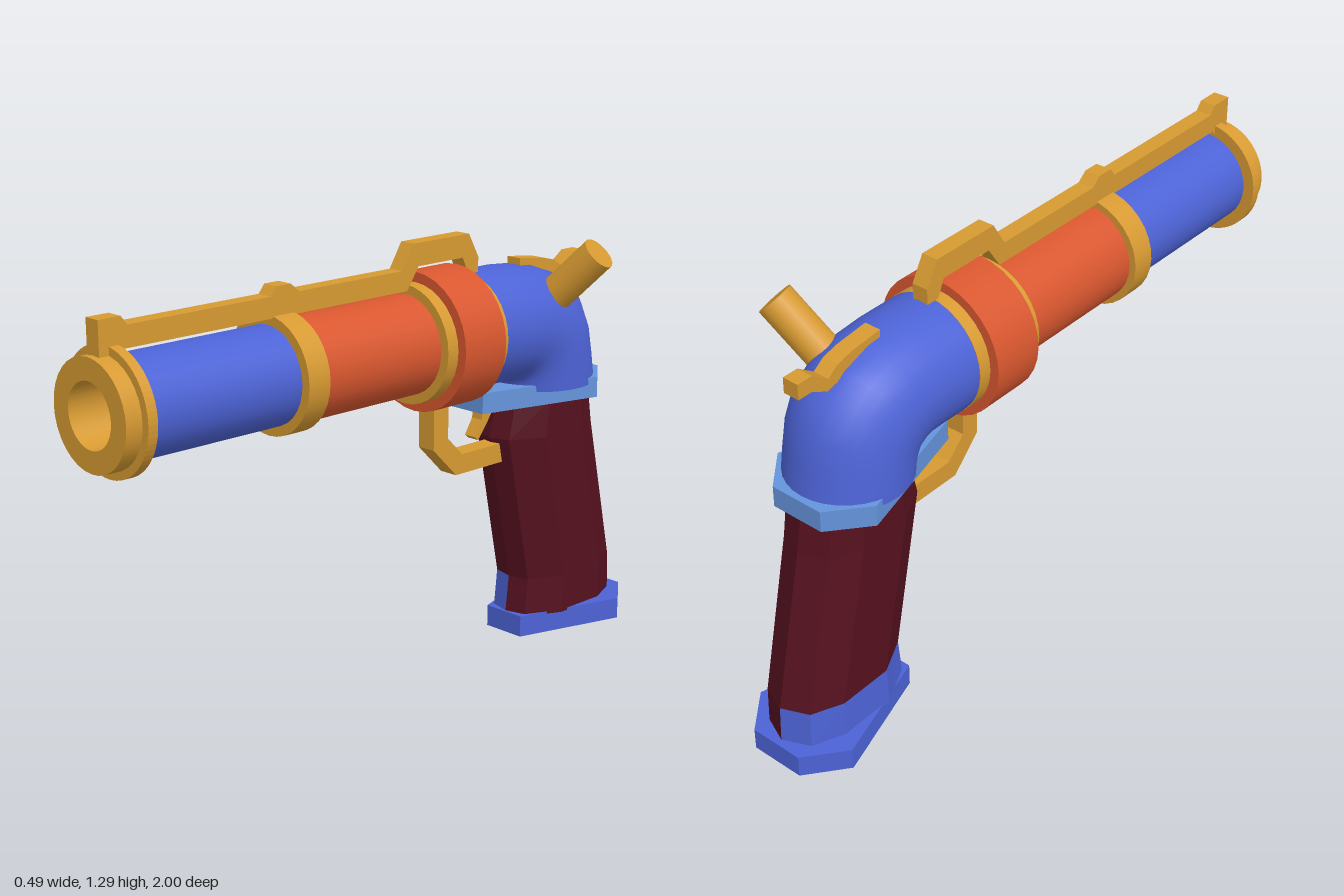
import * as THREE from 'three';

const X0 = -0.04, AXIS_Y = 1; // barrel axis
const mat = (color, extra = {}) => new THREE.MeshStandardMaterial({ color, ...extra });
const blue = mat(0x4d63d6), paleBlue = mat(0x6594dc), orange = mat(0xd9572f);
const gold = mat(0xd79a32), maroon = mat(0x55111f);

export function createModel() {
  const model = new THREE.Group();
  model.name = 'toyPistol';

  const add = (name, geometry, material) => {
    const mesh = new THREE.Mesh(geometry, material);
    mesh.name = name;
    model.add(mesh);
    return mesh;
  };

  // Cylinder along the barrel axis between two z positions
  const tube = (name, zFront, zBack, r, material) => {
    const g = new THREE.CylinderGeometry(r, r, zFront - zBack, 32);
    g.rotateX(Math.PI / 2);
    g.translate(X0, AXIS_Y, (zFront + zBack) / 2);
    add(name, g, material);
  };

  // Flat plate from a side profile of [z, y] points, centred on the gun's middle
  const plate = (name, points, width, material) => {
    const shape = new THREE.Shape(points.map(([z, y]) => new THREE.Vector2(z, y)));
    const g = new THREE.ExtrudeGeometry(shape, { depth: width, bevelEnabled: false });
    g.rotateY(-Math.PI / 2);
    g.translate(X0 + width / 2, 0, 0);
    add(name, g, material);
  };

  // Skin over rings of [x, y, z] points; faceted ones are capped
  const loft = (rings, smooth = false) => {
    const n = rings[0].length, index = [];
    for (let i = 0; i < rings.length - 1; i++) {
      for (let j = 0; j < n; j++) {
        const a = i * n + j, b = i * n + (j + 1) % n;
        index.push(a, b, b + n, a, b + n, a + n);
      }
    }
    if (!smooth) {
      const top = (rings.length - 1) * n;
      for (let j = 1; j < n - 1; j++) index.push(0, j + 1, j, top, top + j, top + j + 1);
    }
    let g = new THREE.BufferGeometry();
    g.setAttribute('position', new THREE.Float32BufferAttribute(rings.flat(2), 3));
    g.setIndex(index);
    if (!smooth) g = g.toNonIndexed();
    g.computeVertexNormals();
    return g;
  };

  // Muzzle with an open bore
  const muzzle = new THREE.LatheGeometry([
    [0, -0.22], [0.09, -0.22], [0.09, -0.22], [0.09, 0], [0.09, 0], [0.152, 0], [0.152, 0], [0.152, -0.06],
  ].reverse().map(([r, y]) => new THREE.Vector2(r, y)), 32);
  muzzle.rotateX(Math.PI / 2);
  muzzle.translate(X0, AXIS_Y, 1);
  add('muzzle', muzzle, mat(0xd79a32, { side: THREE.DoubleSide }));

  // Ring behind the muzzle, hollow so the bore stays open
  const ringShape = new THREE.Shape().absarc(X0, AXIS_Y, 0.175, 0, Math.PI * 2);
  ringShape.holes.push(new THREE.Path().absarc(X0, AXIS_Y, 0.1, 0, Math.PI * 2, true));
  const ring = new THREE.ExtrudeGeometry(ringShape, { depth: 0.03, bevelEnabled: false, curveSegments: 32 });
  ring.translate(0, 0, 0.92);
  add('muzzleRing', ring, gold);

  // Barrel: open sleeve in front, solid parts behind
  const sleeve = new THREE.CylinderGeometry(0.14, 0.14, 0.52, 32, 1, true);
  sleeve.rotateX(Math.PI / 2);
  sleeve.translate(X0, AXIS_Y, 0.67);
  add('frontBarrel', sleeve, blue);
  tube('middleRing', 0.415, 0.34, 0.168, gold);
  tube('rearBarrel', 0.34, -0.1, 0.147, orange);
  tube('frontDrumRing', -0.1, -0.14, 0.175, gold);
  tube('drum', -0.14, -0.305, 0.205, orange);
  tube('rearDrumRing', -0.305, -0.345, 0.177, gold);

  // Bent body: elliptical rings between outer and inner [z, y] points
  const bend = [
    [-0.345, 1.177, -0.345, 0.825], [-0.48, 1.177, -0.42, 0.827],
    [-0.6, 1.167, -0.455, 0.828], [-0.69, 1.135, -0.472, 0.828],
    [-0.77, 1.075, -0.482, 0.825], [-0.81, 0.99, -0.487, 0.818],
    [-0.828, 0.9, -0.49, 0.81], [-0.845, 0.8, -0.49, 0.8],
  ];
  add('body', loft(bend.map(([zo, yo, zi, yi]) => Array.from({ length: 32 }, (_, j) => {
    const t = j / 32 * Math.PI * 2, c = Math.cos(t) / 2;
    return [X0 + 0.175 * Math.sin(t), (yo + yi) / 2 + (yo - yi) * c, (zo + zi) / 2 + (zo - zi) * c];
  })), true), blue);

  // Six-sided slabs above and below the grip
  const slab = (name, y0, y1, front, wide, back, material) => {
    const outline = [[0.07, front], [0.175, wide], [0.083, back], [-0.083, back], [-0.175, wide], [-0.07, front]];
    add(name, loft([y0, y1].map(y => outline.map(([x, z]) => [X0 + x, y, z]))), material);
  };
  slab('gripCollar', 0.757, 0.82, -0.355, -0.75, -0.86, paleBlue);
  slab('gripBase', 0, 0.067, -0.54, -0.885, -1, blue);

  // Faceted grip; half section as [x, fraction from front to back]
  const half = [[0, 0], [0.065, 0.04], [0.12, 0.3], [0.12, 0.7], [0.08, 0.92], [0, 1]];
  const otherHalf = half.map(([x, t]) => [-x, t]).reverse();
  const whole = [...half, ...otherHalf.slice(1, -1)];
  const levels = [[0.06, -0.547, -0.98], [0.18, -0.56, -0.975], [0.65, -0.462, -0.87], [0.765, -0.49, -0.848]];
  const gripPart = (name, outline, rows, material) => add(name, loft(rows.map(([y, f, b]) =>
    outline.map(([x, t]) => [X0 + x, y, f + (b - f) * t]))), material);
  gripPart('grip', whole, levels.slice(1), maroon);
  gripPart('gripFootLeft', half, levels.slice(0, 2), maroon);
  gripPart('gripFootRight', otherHalf, levels.slice(0, 2), blue);

  // Top rail with sights
  plate('sightRail', [
    [0.98, 1.15], [0.98, 1.245], [0.91, 1.245], [0.89, 1.22], [0.42, 1.22], [0.4, 1.245], [0.35, 1.245],
    [0.32, 1.22], [-0.065, 1.22], [-0.11, 1.292], [-0.335, 1.292], [-0.375, 1.22], [-0.375, 1.17],
    [-0.335, 1.17], [-0.31, 1.225], [-0.13, 1.225], [-0.085, 1.16], [0.91, 1.16], [0.91, 1.15],
  ], 0.05, gold);

  // Trigger guard and trigger
  plate('triggerGuard', [
    [-0.19, 0.82], [-0.25, 0.82], [-0.25, 0.695], [-0.31, 0.635], [-0.49, 0.635],
    [-0.49, 0.575], [-0.285, 0.575], [-0.19, 0.67],
  ], 0.062, gold);
  plate('trigger', [
    [-0.41, 0.77], [-0.405, 0.72], [-0.375, 0.672], [-0.39, 0.66], [-0.43, 0.71], [-0.47, 0.77],
  ], 0.04, gold);

  // Hammer
  plate('hammer', [
    [-0.555, 1.15], [-0.555, 1.19], [-0.66, 1.178], [-0.71, 1.165], [-0.745, 1.14], [-0.8, 1.178],
    [-0.85, 1.178], [-0.85, 1.132], [-0.805, 1.132], [-0.75, 1.105], [-0.69, 1.12], [-0.65, 1.14],
  ], 0.05, gold);

  // Slanted side lever
  const from = new THREE.Vector3(0.04, 1.05, -0.605), to = new THREE.Vector3(0.205, 1.222, -0.655);
  const dir = to.clone().sub(from);
  const lever = add('sideLever', new THREE.CylinderGeometry(0.053, 0.053, dir.length(), 20), gold);
  lever.position.copy(from).add(to).multiplyScalar(0.5);
  lever.quaternion.setFromUnitVectors(new THREE.Vector3(0, 1, 0), dir.normalize());

  return model;
}
